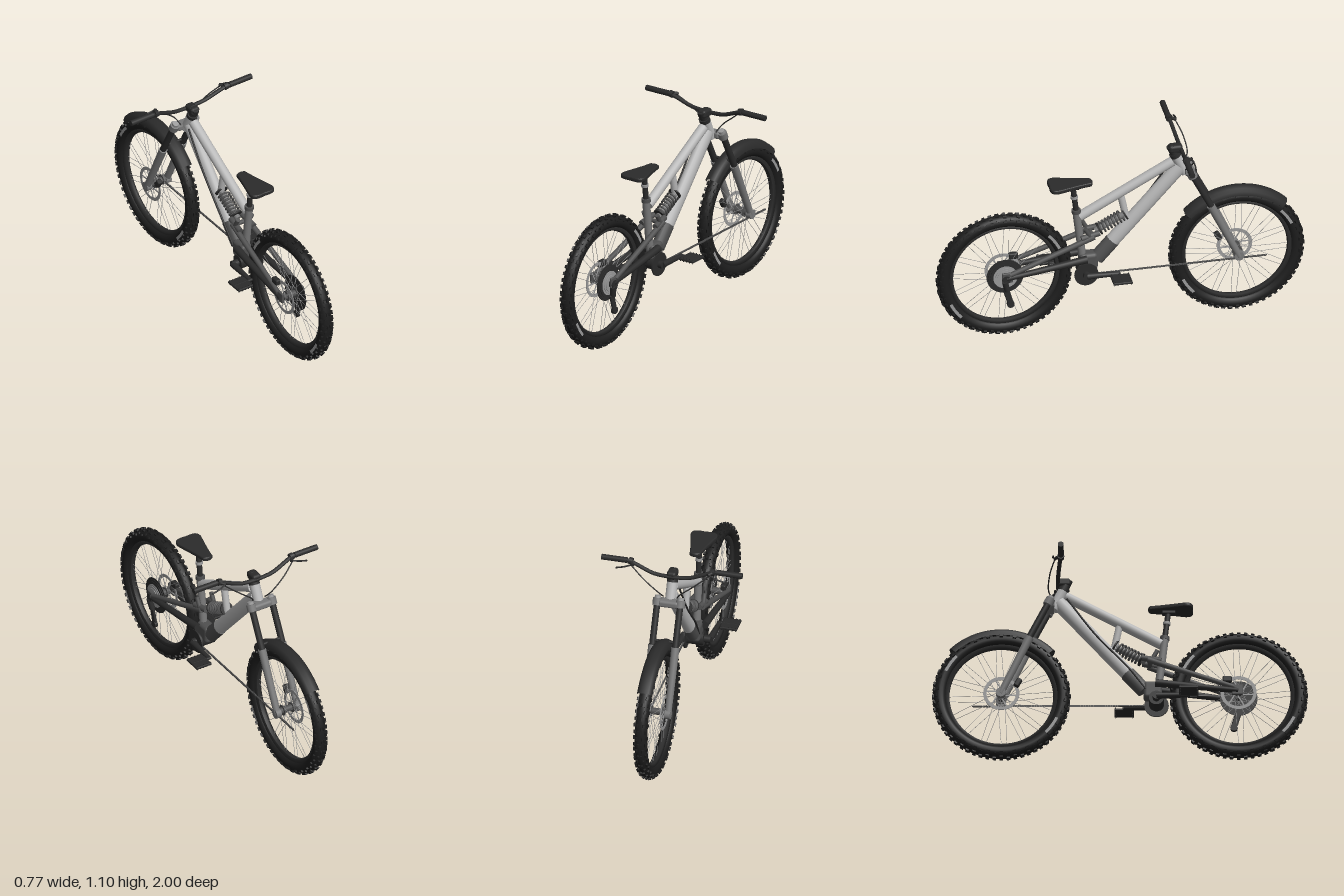
import * as THREE from 'three';
import { mergeGeometries } from 'three/addons/utils/BufferGeometryUtils.js';
import { RoundedBoxGeometry } from 'three/addons/geometries/RoundedBoxGeometry.js';

const paint = (name, color, side = THREE.FrontSide) => {
  const m = new THREE.MeshStandardMaterial({ color, side });
  m.name = name;
  return m;
};
const V = (x, y, z) => new THREE.Vector3(x, y, z);
const UP = V(0, 1, 0);

// Coil around the y axis
class Coil extends THREE.Curve {
  constructor(r, h, turns) { super(); Object.assign(this, { r, h, turns }); }
  getPoint(t, out = V(0, 0, 0)) {
    const a = t * this.turns * Math.PI * 2;
    return out.set(Math.cos(a) * this.r, (t - 0.5) * this.h, Math.sin(a) * this.r);
  }
}

export function createModel() {
  const rubber = paint('tyre rubber', 0x1d1d1d);
  const black = paint('black parts', 0x2b2b2b, THREE.DoubleSide);
  const silver = paint('frame silver', 0xb8b8b8);
  const grey = paint('fork grey', 0x787878);
  const dark = paint('dark grey', 0x505050);
  const steel = paint('steel', 0x9a9a9a, THREE.DoubleSide);

  const model = new THREE.Group();
  const add = (name, geo, mat, parent = model) => {
    const m = new THREE.Mesh(geo, mat);
    m.name = name;
    parent.add(m);
    return m;
  };
  // Round bar between two points
  const barGeo = (a, b, r0, r1 = r0, n = 16) => {
    const d = b.clone().sub(a);
    const g = new THREE.CylinderGeometry(r1, r0, d.length(), n);
    g.applyQuaternion(new THREE.Quaternion().setFromUnitVectors(UP, d.normalize()));
    const c = a.clone().add(b).multiplyScalar(0.5);
    return g.translate(c.x, c.y, c.z);
  };
  const bar = (name, a, b, r, mat, r1 = r) => add(name, barGeo(a, b, r, r1), mat);
  const path = (name, pts, r, mat) =>
    add(name, new THREE.TubeGeometry(new THREE.CatmullRomCurve3(pts), 32, r, 10), mat);
  const box = (name, w, h, d, x, y, z, mat, round = 0.004) => {
    const m = add(name, new RoundedBoxGeometry(w, h, d, 2, round), mat);
    m.position.set(x, y, z);
    return m;
  };
  // Disc whose axis runs along x
  const disc = (name, r, w, x, y, z, mat, parent = model, n = 32) => {
    const m = add(name, new THREE.CylinderGeometry(r, r, w, n).rotateZ(Math.PI / 2), mat, parent);
    m.position.set(x, y, z);
    return m;
  };

  // Wheels
  const wheel = (name, z) => {
    const g = new THREE.Group();
    g.name = name;
    g.position.set(0, 0.372, z);
    model.add(g);
    add('tyre', new THREE.TorusGeometry(0.326, 0.034, 16, 80).rotateY(Math.PI / 2), rubber, g);
    const rim = [[0.28, -0.012], [0.302, -0.019], [0.302, 0.019], [0.28, 0.012], [0.275, 0], [0.28, -0.012]];
    add('rim', new THREE.LatheGeometry(rim.map(p => new THREE.Vector2(...p)), 64).rotateZ(Math.PI / 2), black, g);
    const knobs = [], spokes = [];
    const rows = 60;
    for (let i = 0; i < rows; i++) {
      // centre pairs alternate with shoulder blocks
      const tilts = i % 2 ? [-0.95, 0.95, -0.22, 0.22] : [-0.5, 0.5, -1.2, 1.2];
      for (const t of tilts) {
        knobs.push(new THREE.BoxGeometry(0.011, 0.012, 0.018).translate(0, 0.0365, 0).rotateZ(t)
          .translate(0, 0.326, 0).rotateX((i / rows) * Math.PI * 2));
      }
    }
    add('tread blocks', mergeGeometries(knobs), rubber, g);
    for (let i = 0; i < 32; i++) {
      const a = (Math.floor(i / 2) / 16) * Math.PI * 2 + (i % 2) * 0.1;
      const b = a + (i % 2 ? 0.9 : -0.9), s = i % 4 < 2 ? 1 : -1;
      spokes.push(barGeo(V(s * 0.028, 0.025 * Math.sin(b), 0.025 * Math.cos(b)),
        V(0, 0.28 * Math.sin(a), 0.28 * Math.cos(a)), 0.0013, 0.0013, 5));
    }
    add('spokes', mergeGeometries(spokes), steel, g);
    disc('hub', 0.018, 0.1, 0, 0, 0, dark, g);
    for (const s of [-1, 1]) {
      disc('hub flange', 0.029, 0.006, s * 0.028, 0, 0, dark, g);
      for (const a of [25, 205]) {
        const t = THREE.MathUtils.degToRad(a);
        const m = add('sidewall stripe', new THREE.RingGeometry(0.317, 0.333, 12, 1, t, 0.32).rotateY(Math.PI / 2), steel, g);
        m.position.x = s * 0.0362;
      }
    }
    // Brake rotor on the left flank of the bike
    const ring = new THREE.Shape().absarc(0, 0, 0.096, 0, Math.PI * 2);
    ring.holes.push(new THREE.Path().absarc(0, 0, 0.078, 0, Math.PI * 2, true));
    const parts = [new THREE.ExtrudeGeometry(ring, { depth: 0.003, bevelEnabled: false, curveSegments: 40 })
      .toNonIndexed()];
    for (let i = 0; i < 6; i++) {
      parts.push(new THREE.BoxGeometry(0.07, 0.007, 0.003).translate(0.048, 0.012, 0.0015)
        .rotateZ(i * Math.PI / 3).toNonIndexed());
    }
    add('brake rotor', mergeGeometries(parts).rotateY(Math.PI / 2), steel, g).position.x = -0.045;
    return g;
  };
  const rear = wheel('rear wheel', 0.631);
  wheel('front wheel', -0.628);

  // Cassette and rear mech
  [0.1, 0.09, 0.08].forEach((r, i) => disc('large sprocket', r, 0.003, 0.03 + i * 0.004, 0, 0, black, rear, 40));
  [0.066, 0.055, 0.045].forEach((r, i) => disc('small sprocket', r, 0.003, 0.042 + i * 0.004, 0, 0, steel, rear, 32));
  disc('axle cap', 0.022, 0.03, 0.06, 0, 0, black, rear);
  bar('derailleur arm', V(0.068, 0.36, 0.64), V(0.058, 0.3, 0.625), 0.016, black);
  const cage = box('derailleur cage', 0.014, 0.115, 0.034, 0.055, 0.255, 0.617, black, 0.006);
  cage.rotation.x = 0.28;
  disc('jockey wheel', 0.02, 0.018, 0.055, 0.212, 0.606, black);

  // Main frame
  const tubeFlat = (name, a, b, r, mat, sx) => { bar(name, a, b, r, mat).scale.x = sx; };
  tubeFlat('down tube', V(0, 0.505, 0.042), V(0, 0.92, -0.325), 0.04, silver, 0.8);
  tubeFlat('down tube guard', V(0, 0.405, 0.13), V(0, 0.505, 0.042), 0.042, dark, 0.8);
  tubeFlat('top tube', V(0, 0.675, 0.22), V(0, 0.955, -0.285), 0.027, silver, 1);
  bar('head tube', V(0, 0.88, -0.352), V(0, 0.99, -0.3), 0.029, silver);
  bar('seat tube', V(0, 0.42, 0.205), V(0, 0.715, 0.24), 0.021, grey);
  bar('seat post', V(0, 0.7, 0.238), V(0, 0.86, 0.257), 0.015, black);
  bar('seat collar', V(0, 0.7, 0.238), V(0, 0.72, 0.24), 0.025, dark);
  bar('dropper collar', V(0, 0.79, 0.249), V(0, 0.805, 0.251), 0.02, steel);
  bar('shock strut', V(0, 0.79, 0), V(0, 0.645, -0.03), 0.019, silver);
  disc('bottom bracket', 0.04, 0.09, 0, 0.345, 0.195, black);
  box('bottom bracket shell', 0.07, 0.1, 0.1, 0, 0.4, 0.175, dark, 0.02);
  path('frame cable', [V(-0.035, 0.93, -0.28), V(-0.037, 0.72, -0.13), V(-0.037, 0.52, 0.05), V(-0.03, 0.4, 0.14)], 0.005, black);

  // Swingarm and shock
  for (const s of [-1, 1]) {
    bar('seat stay', V(s * 0.064, 0.395, 0.61), V(s * 0.046, 0.565, 0.15), 0.013, dark, 0.016);
    bar('chain stay', V(s * 0.064, 0.375, 0.63), V(s * 0.046, 0.43, 0.19), 0.014, black, 0.021);
    box('dropout', 0.014, 0.06, 0.06, s * 0.064, 0.38, 0.625, dark, 0.006);
    bar('rocker link', V(s * 0.044, 0.56, 0.22), V(s * 0.036, 0.58, 0.12), 0.016, dark);
    bar('rocker leg', V(s * 0.044, 0.565, 0.17), V(s * 0.044, 0.62, 0.2), 0.012, dark);
  }
  bar('swingarm bridge', V(-0.05, 0.565, 0.16), V(0.05, 0.565, 0.16), 0.012, dark);
  const low = V(0, 0.575, 0.135), high = V(0, 0.665, -0.03);
  bar('shock damper', low, high, 0.017, grey);
  const axis = high.clone().sub(low).normalize();
  const coil = add('shock spring', new THREE.TubeGeometry(new Coil(0.03, 0.135, 7), 140, 0.0055, 8), dark);
  coil.quaternion.setFromUnitVectors(UP, axis);
  coil.position.copy(low).lerp(high, 0.52);
  for (const t of [0.1, 0.94]) {
    const p = low.clone().lerp(high, t);
    bar('spring seat', p, p.clone().addScaledVector(axis, 0.008), 0.036, black);
  }

  // Cranks, pedals and chain
  disc('chainring', 0.065, 0.008, 0.053, 0.342, 0.195, black);
  disc('crank axle', 0.02, 0.16, 0, 0.342, 0.195, black);
  for (const s of [-1, 1]) {
    const z = 0.195 - s * 0.172;
    bar('crank arm', V(s * 0.074, 0.342, 0.195), V(s * 0.08, 0.342, z), 0.018, black, 0.012);
    bar('pedal axle', V(s * 0.07, 0.342, z), V(s * 0.18, 0.342, z), 0.008, black);
    box('pedal', 0.094, 0.014, 0.104, s * 0.142, 0.342, z, black);
    const pins = [];
    for (let i = 0; i < 5; i++) for (const e of [-1, 1])
      pins.push(new THREE.CylinderGeometry(0.0025, 0.0025, 0.024, 6).translate(-0.04 + i * 0.02, 0, e * 0.045));
    add('pedal pins', mergeGeometries(pins), black).position.set(s * 0.142, 0.342, z);
  }
  const links = [];
  for (let z = 0.19; z > -0.785; z -= 0.013)
    for (const e of [-1, 1]) links.push(new THREE.BoxGeometry(0.0016, 0.008, 0.0115).translate(0.053 + e * 0.003, 0.342, z));
  links.push(new THREE.BoxGeometry(0.004, 0.004, 0.975).translate(0.053, 0.342, -0.297));
  add('chain', mergeGeometries(links), dark);

  // Saddle
  const outline = new THREE.Shape();
  outline.moveTo(-0.022, 0.165);
  outline.quadraticCurveTo(0, 0.15, 0.022, 0.165);
  outline.bezierCurveTo(0.034, 0.24, 0.05, 0.28, 0.066, 0.35);
  outline.bezierCurveTo(0.068, 0.385, 0.04, 0.385, 0, 0.38);
  outline.bezierCurveTo(-0.04, 0.385, -0.068, 0.385, -0.066, 0.35);
  outline.bezierCurveTo(-0.05, 0.28, -0.034, 0.24, -0.022, 0.165);
  add('saddle', new THREE.ExtrudeGeometry(outline, { depth: 0.008, bevelThickness: 0.008, bevelSize: 0.007, bevelSegments: 3 })
    .rotateX(Math.PI / 2), black).position.y = 0.882;
  box('saddle clamp', 0.04, 0.02, 0.07, 0, 0.86, 0.26, black);

  // Fork
  box('fork crown', 0.11, 0.04, 0.055, 0, 0.895, -0.372, grey, 0.014);
  for (const s of [-1, 1]) {
    const x = s * 0.063;
    bar('crown clamp', V(x, 0.88, -0.383), V(x, 0.915, -0.366), 0.026, grey);
    bar('fork cap', V(x, 0.912, -0.368), V(x, 0.928, -0.361), 0.017, steel);
    bar('stanchion', V(x, 0.67, -0.49), V(x, 0.89, -0.379), 0.0175, black);
    bar('fork lower', V(x, 0.36, -0.632), V(x, 0.69, -0.478), 0.018, grey, 0.0225);
    disc('fork dropout', 0.026, 0.03, x, 0.365, -0.63, grey);
  }
  bar('fork brace', V(-0.06, 0.715, -0.472), V(0.06, 0.715, -0.472), 0.008, black);
  const section = [[0.345, -0.041], [0.368, -0.039], [0.383, -0.026], [0.39, 0], [0.383, 0.026], [0.368, 0.039], [0.345, 0.041]];
  add('front fender', new THREE.LatheGeometry(section.map(p => new THREE.Vector2(...p)), 32,
    THREE.MathUtils.degToRad(43), THREE.MathUtils.degToRad(92)).rotateZ(Math.PI / 2), black).position.set(0, 0.372, -0.628);
  box('front caliper', 0.03, 0.05, 0.03, -0.052, 0.43, -0.54, black, 0.008).rotation.x = 0.5;
  box('rear caliper', 0.03, 0.035, 0.05, -0.052, 0.445, 0.57, black, 0.008);

  // Cockpit
  bar('headset', V(0, 0.985, -0.302), V(0, 1.005, -0.292), 0.03, black);
  bar('steerer', V(0, 1.0, -0.295), V(0, 1.05, -0.272), 0.024, black);
  box('stem', 0.052, 0.045, 0.075, 0, 1.035, -0.298, black, 0.015);
  path('handlebar', [V(-0.385, 1.086, -0.31), V(-0.24, 1.086, -0.31), V(-0.2, 1.075, -0.315), V(-0.1, 1.038, -0.325),
    V(-0.03, 1.031, -0.327), V(0.03, 1.031, -0.327), V(0.1, 1.038, -0.325), V(0.2, 1.075, -0.315),
    V(0.24, 1.086, -0.31), V(0.385, 1.086, -0.31)], 0.011, black);
  for (const s of [-1, 1]) {
    bar('grip', V(s * 0.245, 1.086, -0.31), V(s * 0.386, 1.086, -0.31), 0.0155, black);
    bar('lever clamp', V(s * 0.215, 1.084, -0.312), V(s * 0.236, 1.088, -0.311), 0.019, black);
    bar('lever body', V(s * 0.23, 1.088, -0.315), V(s * 0.205, 1.082, -0.345), 0.009, black);
    path('brake lever', [V(s * 0.215, 1.082, -0.345), V(s * 0.25, 1.07, -0.352), V(s * 0.298, 1.055, -0.35)], 0.0045, black);
    path('brake hose', [V(s * 0.215, 1.078, -0.342), V(s * 0.14, 1.02, -0.37), V(s * 0.06, 0.955, -0.375),
      V(s * 0.038, 0.915, -0.345)], 0.0035, black);
  }
  return model;
}
